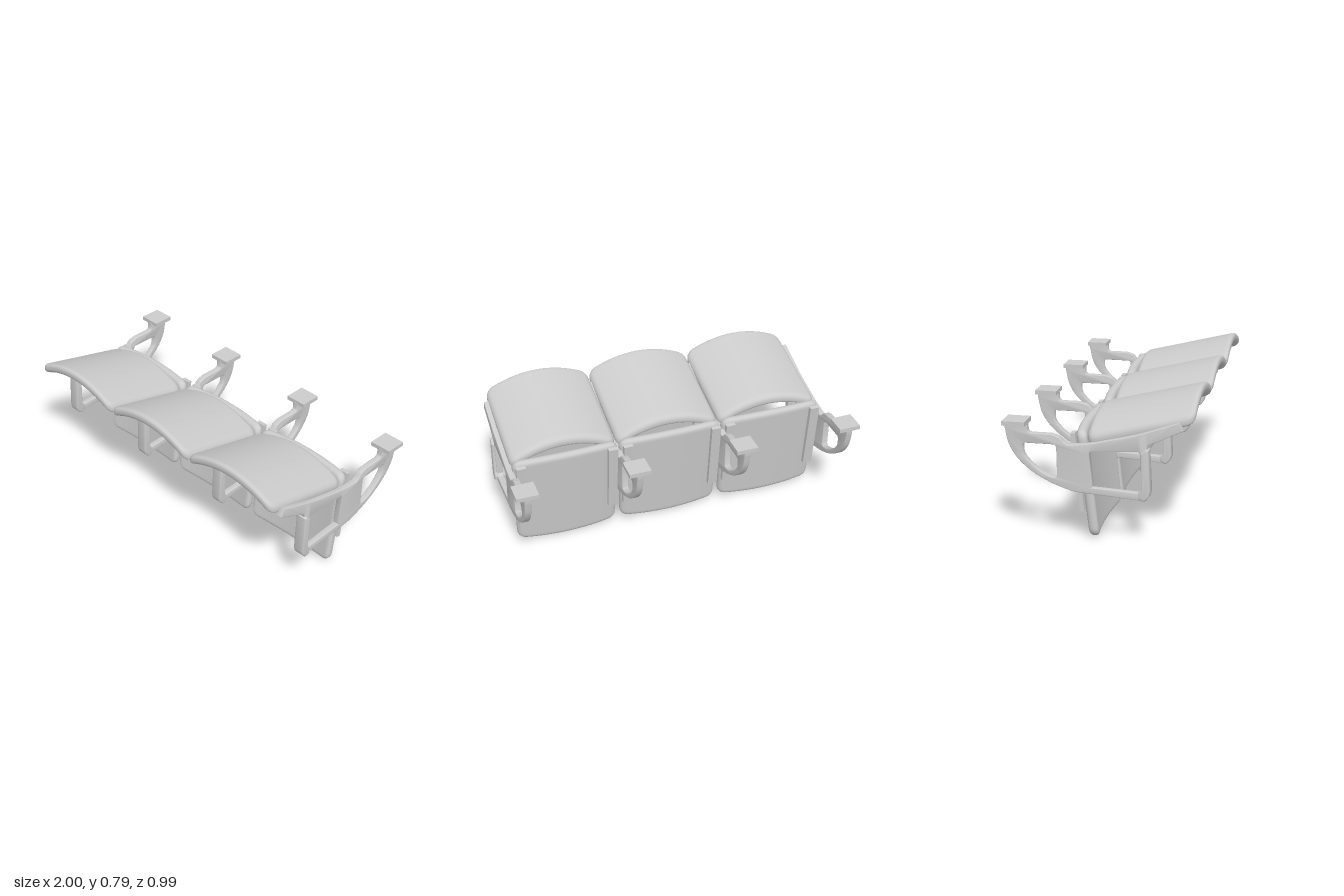
import * as THREE from 'three';
import { mergeVertices, toCreasedNormals } from 'three/addons/utils/BufferGeometryUtils.js';

const material = new THREE.MeshStandardMaterial({ color: 0xcccccc });

function addMesh(parent, name, geometry, x = 0, y = 0, z = 0) {
  const mesh = new THREE.Mesh(geometry, material);
  mesh.name = name;
  mesh.position.set(x, y, z);
  parent.add(mesh);
  return mesh;
}

// Padded slab: rounded corners (R) in plan, rounded rim (r), then bent by place(x, t, d)
function slab(hx, hd, thick, R, r, place) {
  const geo = new THREE.BoxGeometry(2, thick, 2, 40, 2, 32);
  geo.deleteAttribute('normal');
  geo.deleteAttribute('uv');
  const p = geo.attributes.position;
  // crowd the grid lines towards the rim
  const ease = u => Math.sin(u * Math.PI / 2);
  for (let i = 0; i < p.count; i++) {
    let x = ease(p.getX(i)) * hx, d = ease(p.getZ(i)) * hd, t = p.getY(i);
    const cx = Math.abs(x) - (hx - R), cd = Math.abs(d) - (hd - R);
    let inset = Math.min(hx - Math.abs(x), hd - Math.abs(d));
    if (cx > 0 && cd > 0) {
      const m = Math.max(cx, cd), k = m / Math.hypot(cx, cd);
      x = Math.sign(x) * (hx - R + cx * k);
      d = Math.sign(d) * (hd - R + cd * k);
      inset = R - m;
    }
    const e = r - Math.min(r, Math.max(0, inset));
    const half = thick / 2 - r + Math.sqrt(Math.max(0, r * r - e * e));
    t *= half / (thick / 2);
    p.setXYZ(i, ...place(x, t, d));
  }
  const out = mergeVertices(geo, 1e-5);
  out.computeVertexNormals();
  return out;
}

// Closed path of [z, y] points; a nested list is a smooth curve through its points
function trace(path, items) {
  items.forEach((item, i) => {
    if (typeof item[0] === 'number') {
      i === 0 ? path.moveTo(...item) : path.lineTo(...item);
    } else {
      path.lineTo(...item[0]);
      path.splineThru(item.slice(1).map(q => new THREE.Vector2(...q)));
    }
  });
  path.closePath();
  return path;
}

// Extrude a side profile across x, centred on x = 0
function sideExtrude(shape, width, bevel) {
  const depth = width - 2 * bevel;
  const geo = new THREE.ExtrudeGeometry(shape, {
    depth, steps: 1, curveSegments: 16,
    bevelEnabled: true, bevelSize: bevel, bevelThickness: bevel, bevelOffset: -bevel, bevelSegments: 3,
  });
  geo.translate(0, 0, -depth / 2);
  geo.rotateY(-Math.PI / 2);
  return toCreasedNormals(geo, 0.6);
}

function frameGeometry() {
  const shape = trace(new THREE.Shape(), [
    [0.44, 0.632], [0.42, 0.676],
    [[0.4, 0.668], [0.3, 0.632], [0.2, 0.598], [0.05, 0.56], [-0.06, 0.535], [-0.16, 0.525]],
    [[-0.165, 0.526], [-0.183, 0.54], [-0.205, 0.563], [-0.25, 0.577]],
    [[-0.355, 0.577], [-0.368, 0.585], [-0.372, 0.6]],
    [-0.372, 0.63], [-0.493, 0.63],
    [[-0.493, 0.6], [-0.472, 0.51], [-0.425, 0.435], [-0.35, 0.37], [-0.25, 0.315], [-0.15, 0.28], [-0.1, 0.271]],
    [0.22, 0.25], [0.245, 0.26], [0.262, 0.3], [0.258, 0.515],
    [[0.258, 0.53], [0.264, 0.545], [0.285, 0.558]],
  ]);
  // opening behind the front post
  shape.holes.push(trace(new THREE.Path(), [
    [0.208, 0.51], [-0.03, 0.495],
    [[-0.035, 0.494], [-0.043, 0.488], [-0.046, 0.475]],
    [-0.03, 0.318], [-0.032, 0.306], [-0.042, 0.3],
    [0.205, 0.289], [0.222, 0.3], [0.22, 0.5],
  ]));
  // opening in the rear bracket
  shape.holes.push(trace(new THREE.Path(), [
    [-0.218, 0.355], [-0.22, 0.505],
    [[-0.221, 0.512], [-0.226, 0.52], [-0.235, 0.523]],
    [-0.388, 0.523], [-0.398, 0.513],
    [[-0.398, 0.475], [-0.385, 0.447], [-0.34, 0.4], [-0.28, 0.36], [-0.235, 0.345]],
    [-0.222, 0.347],
  ]));
  return sideExtrude(shape, 0.036, 0.004);
}

// Wide rounded post, turned under at its foot
function postGeometry() {
  return sideExtrude(trace(new THREE.Shape(), [
    [0.266, 0.524], [0.25, 0.528], [0.223, 0.505], [0.228, 0.31], [0.212, 0.285],
    [0.214, 0.262], [0.235, 0.248], [0.25, 0.252], [0.27, 0.276], [0.276, 0.3],
  ]), 0.066, 0.01);
}

export function createModel() {
  const model = new THREE.Group();
  model.name = 'seatRow';

  // Arched upper cushion, sloping down to the rear
  const upper = slab(0.307, 0.28, 0.06, 0.045, 0.024, (x, t, d) => [
    x, 0.697 + t + 0.25 * d - 0.085 * (x / 0.307) ** 2, 0.215 + d]);

  // Hanging panel, leaning rearward at its top and bowed to the rear
  const lower = slab(0.3, 0.288, 0.055, 0.045, 0.024, (x, t, d) => {
    const bow = 1 - (x / 0.3) ** 2;
    return [x * (1 - 0.02 * d / 0.288), 0.302 - d - 0.012 * bow * (d / 0.288), -0.062 + t + 0.11 * d - 0.025 * bow];
  });

  const strip = new THREE.BoxGeometry(0.055, 0.425, 0.025);

  for (let i = -1; i <= 1; i++) {
    const unit = new THREE.Group();
    unit.name = 'seatUnit';
    unit.position.x = i * 0.622;
    addMesh(unit, 'upperCushion', upper);
    addMesh(unit, 'lowerPanel', lower);
    // mounting strips behind the panel
    for (const side of [-1, 1]) {
      addMesh(unit, 'mountingStrip', strip, side * 0.266, 0.365, -0.119).rotation.x = -0.11;
    }
    model.add(unit);
  }

  // Four side frames with front post and rear fixing pad
  const frame = frameGeometry(), post = postGeometry();
  const pad = new THREE.BoxGeometry(0.125, 0.024, 0.122);
  for (let i = 0; i < 4; i++) {
    const support = new THREE.Group();
    support.name = 'support';
    support.position.x = (i - 1.5) * 0.625;
    addMesh(support, 'sideFrame', frame);
    addMesh(support, 'frontPost', post);
    addMesh(support, 'fixingPad', pad, 0, 0.634, -0.434);
    model.add(support);
  }
  return model;
}
